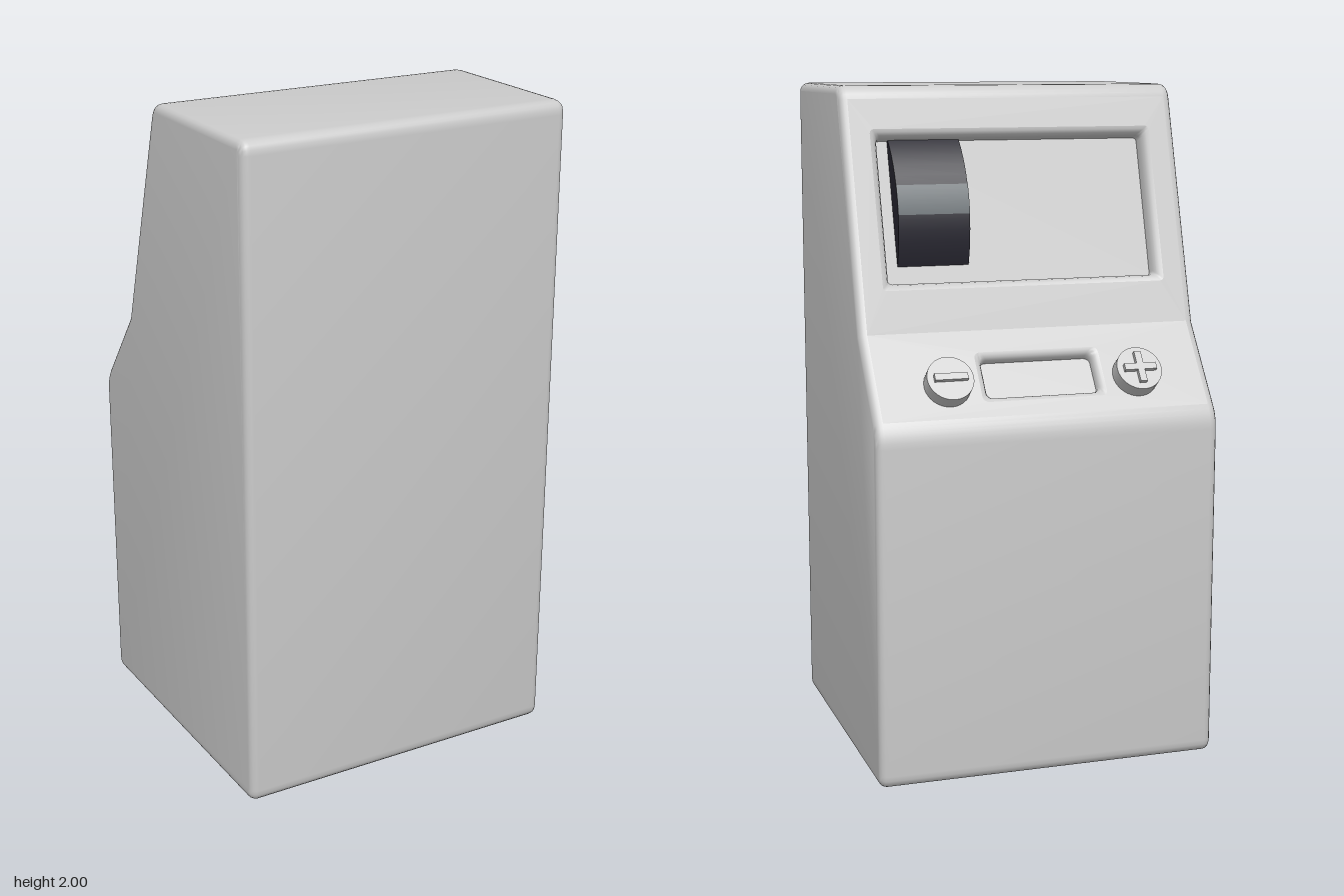
import * as THREE from 'three';
import { toCreasedNormals } from 'three/addons/utils/BufferGeometryUtils.js';

const W = 0.518;   // half width of the cabinet
const BEVEL = 0.025;
const CUT = 0.04;  // length taken off each rounded corner
const V2 = (x, y) => new THREE.Vector2(x, y);

// Side profile as (-z, y), counter-clockwise
const TOP = V2(0.072, 2), CREASE = V2(0.29, 1.3), SHELF = V2(0.488, 1.045);
const PROFILE = [V2(-0.488, 0), V2(0.488, 0), SHELF, CREASE, TOP, V2(-0.488, 2)];

const grey = () => new THREE.MeshStandardMaterial({ color: 0xcccccc });

function add(parent, name, geometry, material = grey()) {
  const mesh = new THREE.Mesh(geometry, material);
  mesh.name = name;
  parent.add(mesh);
  return mesh;
}

function roundedProfile() {
  const shape = new THREE.Shape();
  PROFILE.forEach((p, i) => {
    const prev = PROFILE.at(i - 1), next = PROFILE[(i + 1) % PROFILE.length];
    const cut = p === CREASE ? 0 : CUT;
    const a = p.clone().add(prev.clone().sub(p).setLength(cut));
    const b = p.clone().add(next.clone().sub(p).setLength(cut));
    if (i === 0) shape.moveTo(a.x, a.y); else shape.lineTo(a.x, a.y);
    if (cut) shape.quadraticCurveTo(p.x, p.y, b.x, b.y);
  });
  shape.closePath();
  return shape;
}

// Bevelled cabinet shell, left open where the two sloping panels go
function shellGeometry() {
  const depth = 2 * (W - BEVEL);
  let geo = new THREE.ExtrudeGeometry(roundedProfile(), {
    depth, curveSegments: 5, bevelEnabled: true, bevelSegments: 4,
    bevelSize: BEVEL, bevelThickness: BEVEL, bevelOffset: -BEVEL,
  });
  geo.translate(0, 0, -depth / 2);
  geo.rotateY(Math.PI / 2);
  if (geo.index) geo = geo.toNonIndexed();
  const pos = geo.attributes.position, kept = [];
  const onSlope = (i, p, q) => {
    const dir = q.clone().sub(p).normalize();
    const off = dir.cross(V2(-pos.getZ(i), pos.getY(i)).sub(p));
    return Math.abs(off) < 1e-4 && Math.abs(pos.getX(i)) < W - BEVEL + 1e-4;
  };
  for (let t = 0; t < pos.count; t += 3) {
    const ids = [t, t + 1, t + 2];
    const open = [[SHELF, CREASE], [CREASE, TOP]].some(([p, q]) => ids.every(i => onSlope(i, p, q)));
    if (!open) ids.forEach(i => kept.push(pos.getX(i), pos.getY(i), pos.getZ(i)));
  }
  const shell = new THREE.BufferGeometry();
  shell.setAttribute('position', new THREE.Float32BufferAttribute(kept, 3));
  return toCreasedNormals(shell, 0.7);
}

// Rounded rectangle outline, counter-clockwise
function outline(hw, hh, cy, r) {
  const pts = [];
  [[1, 1], [-1, 1], [-1, -1], [1, -1]].forEach(([sx, sy], k) => {
    for (let i = 0; i <= 4; i++) {
      const a = (k + i / 4) * Math.PI / 2;
      pts.push(V2(sx * (hw - r) + r * Math.cos(a), cy + sy * (hh - r) + r * Math.sin(a)));
    }
  });
  return pts;
}

// Sloping panel with a soft-rimmed recess; local y runs up the slope, z points out
function slopePanel(name, low, high, from, to, recess) {
  const group = new THREE.Group();
  group.name = name;
  const up = new THREE.Vector3(0, high.y - low.y, low.x - high.x).normalize();
  const right = new THREE.Vector3(-1, 0, 0);
  group.matrixAutoUpdate = true;
  const basis = new THREE.Matrix4().makeBasis(right, up, right.clone().cross(up));
  group.quaternion.setFromRotationMatrix(basis);
  group.position.set(0, low.y, -low.x);

  const { hw, bottom, top, radius, depth, flare } = recess;
  const ring = inset => outline(hw - inset, (top - bottom) / 2 - inset, (top + bottom) / 2, radius);
  const half = W - BEVEL;
  const face = new THREE.Shape([V2(-half, from), V2(half, from), V2(half, to), V2(-half, to)]);
  face.holes.push(new THREE.Path(ring(0)));
  add(group, name + 'Face', new THREE.ShapeGeometry(face));

  // Recess walls as stacked outlines, rolled over at the rim
  const steps = [[0, 0], [0.35, 0.06], [0.7, 0.22], [0.95, 0.5], [1, 1]];
  const verts = [], index = [], n = ring(0).length;
  steps.forEach(([s, d], k) => {
    ring(s * flare).forEach((p, i) => {
      verts.push(p.x, p.y, -d * depth);
      if (k === steps.length - 1) return;
      const a = k * n + i, b = k * n + (i + 1) % n;
      index.push(a, b, b + n, a, b + n, a + n);
    });
  });
  const walls = new THREE.BufferGeometry();
  walls.setAttribute('position', new THREE.Float32BufferAttribute(verts, 3));
  walls.setIndex(index);
  add(group, name + 'RecessWalls', toCreasedNormals(walls, 0.7));
  add(group, name + 'RecessBack', new THREE.ShapeGeometry(new THREE.Shape(ring(flare))))
    .position.z = -depth;
  return group;
}

// Round push button with a raised plus or minus sign
function button(name, plus) {
  const group = new THREE.Group();
  group.name = name;
  add(group, name + 'Cap', new THREE.CylinderGeometry(0.069, 0.069, 0.055, 32).rotateX(Math.PI / 2))
    .position.z = 0.0175;
  add(group, name + 'Bar', new THREE.BoxGeometry(0.098, 0.021, 0.02)).position.z = 0.048;
  if (plus) {
    for (const s of [-1, 1]) {
      add(group, name + 'Arm', new THREE.BoxGeometry(0.021, 0.0385, 0.02)).position.set(0, s * 0.02975, 0.048);
    }
  }
  return group;
}

export function createModel() {
  const model = new THREE.Group();
  model.name = 'slotMachine';
  add(model, 'cabinet', shellGeometry());

  // Upper panel with the reel window
  model.add(slopePanel('windowPanel', CREASE, TOP, 0, CREASE.distanceTo(TOP) - CUT,
    { hw: 0.435, bottom: 0.126, top: 0.603, radius: 0.012, depth: 0.052, flare: 0.024 }));

  // Lower panel with the tray and two buttons
  const controls = slopePanel('controlPanel', SHELF, CREASE, CUT, SHELF.distanceTo(CREASE),
    { hw: 0.19, bottom: 0.088, top: 0.25, radius: 0.018, depth: 0.034, flare: 0.02 });
  const plus = button('plusButton', true), minus = button('minusButton', false);
  plus.position.set(0.287, 0.148, 0);
  minus.position.set(-0.287, 0.148, 0);
  controls.add(plus, minus);
  model.add(controls);

  // Dark reel with a lighter stripe
  const reel = new THREE.Group();
  reel.name = 'reel';
  reel.position.set(0.265, 1.588, 0.132);
  add(reel, 'reelDrum', new THREE.CylinderGeometry(0.33, 0.33, 0.216, 64).rotateZ(Math.PI / 2),
    new THREE.MeshStandardMaterial({ color: 0x282731 }));
  add(reel, 'reelStripe',
    new THREE.CylinderGeometry(0.332, 0.332, 0.216, 6, 1, true, Math.PI - 0.4, 0.266).rotateZ(Math.PI / 2),
    new THREE.MeshStandardMaterial({ color: 0x6b7276 }));
  model.add(reel);
  return model;
}
